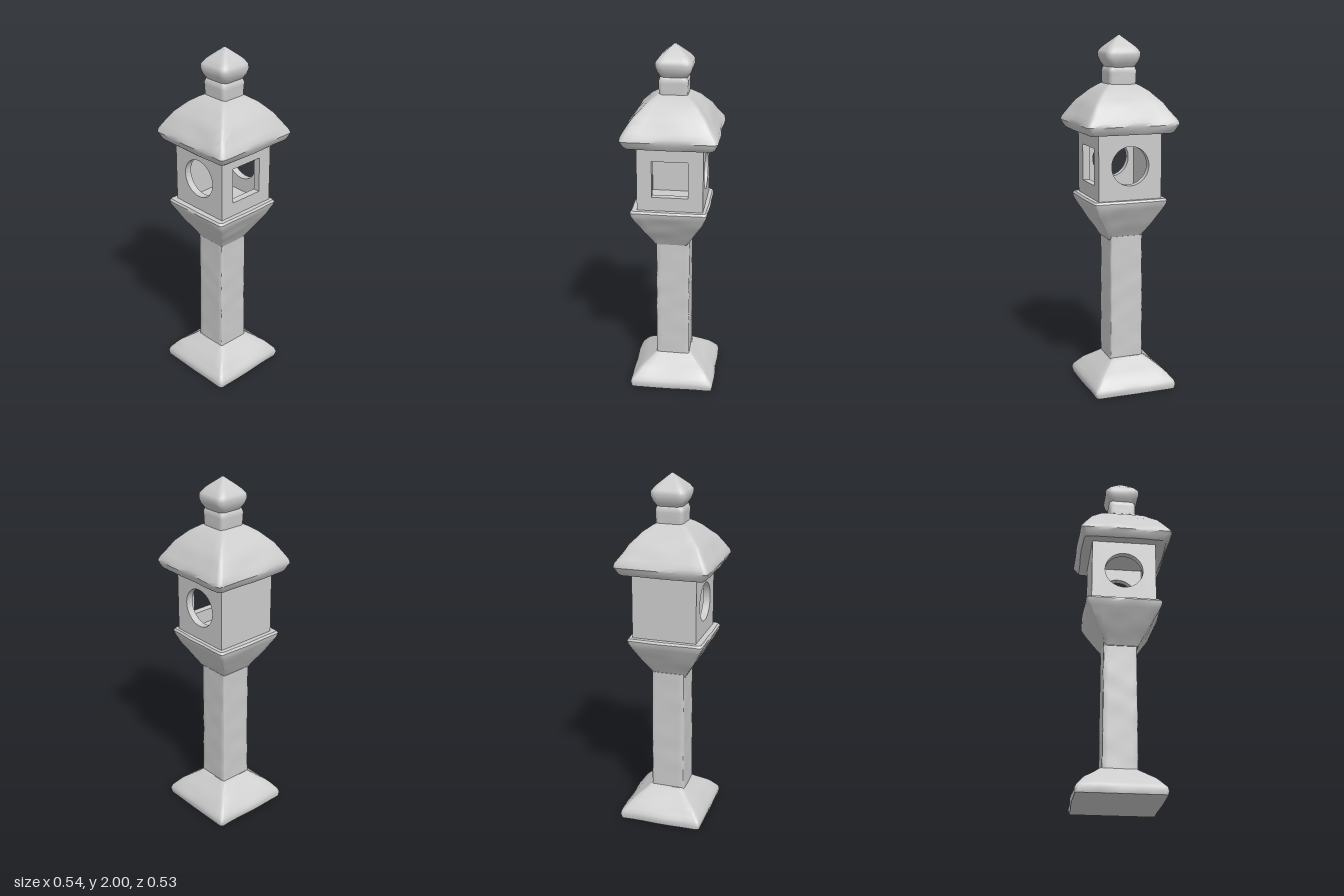
import * as THREE from 'three';
import { toCreasedNormals } from 'three/addons/utils/BufferGeometryUtils.js';

const stone = new THREE.MeshStandardMaterial({ color: 0xcccccc });

// Gentle weathering, returned as a relative change in width
const wear = (x, y, z) =>
  0.012 * Math.sin(17 * x + 23 * y + 5) * Math.cos(19 * z - 11 * y) +
  0.010 * Math.sin(41 * y + 13 * z) * Math.cos(29 * x + 7 * y);

// Rounded square outline, corner by corner: pairs [x, z]
function squareRing(half, radius) {
  const pts = [], arc = 4, side = 8, inner = half - radius;
  for (let c = 0; c < 4; c++) {
    const turn = c * Math.PI / 2, cos = Math.cos(turn), sin = Math.sin(turn);
    const put = (x, z) => pts.push([x * cos - z * sin, x * sin + z * cos]);
    for (let i = 0; i < side; i++) put(half, inner * (2 * i / side - 1));
    for (let i = 0; i < arc; i++) {
      const a = i / arc * Math.PI / 2;
      put(inner + radius * Math.cos(a), inner + radius * Math.sin(a));
    }
  }
  return pts;
}

// Loft of rounded squares through a profile of [y, half width], closed at both ends
function squareLoft(name, profile, { cx = 0, cz = 0, round = 0.1, step = 0.03, crease = 0.7 } = {}) {
  const ends = [[profile[0][0], 0.0005], ...profile, [profile.at(-1)[0], 0.0005]];
  const rings = [ends[0]];
  for (let i = 1; i < ends.length; i++) {
    const [y0, h0] = ends[i - 1], [y1, h1] = ends[i];
    const n = Math.max(1, Math.ceil(Math.hypot(y1 - y0, h1 - h0) / step));
    for (let k = 1; k <= n; k++) rings.push([y0 + (y1 - y0) * k / n, h0 + (h1 - h0) * k / n]);
  }
  const pos = [], index = [];
  let count = 0;
  rings.forEach(([y, h], j) => {
    const ring = squareRing(h, h * round);
    count = ring.length;
    ring.forEach(([x, z], i) => {
      const s = 1 + wear(x, y, z);
      pos.push(cx + x * s, y, cz + z * s);
      if (j === rings.length - 1) return;
      const a = j * count + i, b = j * count + (i + 1) % count;
      index.push(a, a + count, b, b, a + count, b + count);
    });
  });
  const geo = new THREE.BufferGeometry();
  geo.setAttribute('position', new THREE.Float32BufferAttribute(pos, 3));
  geo.setIndex(index);
  const mesh = new THREE.Mesh(toCreasedNormals(geo, crease), stone);
  mesh.name = name;
  return mesh;
}

// Upright wall plate of the light chamber, with an optional opening
function wall(name, width, height, thick, hole) {
  const shape = new THREE.Shape([
    new THREE.Vector2(-width / 2, 0), new THREE.Vector2(width / 2, 0),
    new THREE.Vector2(width / 2, height), new THREE.Vector2(-width / 2, height),
  ]);
  if (hole) shape.holes.push(hole);
  const geo = new THREE.ExtrudeGeometry(shape, { depth: thick, bevelEnabled: false, curveSegments: 40 });
  const mesh = new THREE.Mesh(toCreasedNormals(geo, 0.5), stone);
  mesh.name = name;
  return mesh;
}

function lightChamber() {
  const group = new THREE.Group();
  group.name = 'lightChamber';
  const half = 0.182, thick = 0.04, y = 1.1, height = 0.4;

  // Round openings front and back
  for (const [name, z] of [['frontWall', half - thick], ['backWall', -half]]) {
    const circle = new THREE.Path().absarc(0, 1.3 - y, 0.108, 0, Math.PI * 2, true);
    const plate = wall(name, half * 2, height, thick, circle);
    plate.position.set(-0.004, y, z);
    group.add(plate);
  }

  // Square window on one side, solid wall on the other
  const square = new THREE.Path([[-0.1, 0.09], [-0.1, 0.295], [0.1, 0.295], [0.1, 0.09]]
    .map(([u, v]) => new THREE.Vector2(u, v)));
  square.closePath();
  for (const [name, x, hole] of [['windowWall', half - thick, square], ['solidWall', -half, null]]) {
    const plate = wall(name, (half - thick) * 2, height, thick, hole);
    plate.rotation.y = Math.PI / 2;
    plate.position.set(x - 0.004, y, 0);
    group.add(plate);
  }
  return group;
}

export function createModel() {
  const model = new THREE.Group();
  model.name = 'stoneLantern';
  model.add(
    // Flared foot
    squareLoft('base', [[0, 0.238], [0.025, 0.244], [0.045, 0.238], [0.1, 0.188], [0.15, 0.125], [0.175, 0.095]],
      { cx: -0.022, cz: -0.01, round: 0.08 }),
    // Square post
    squareLoft('post', [[0.14, 0.097], [0.5, 0.095], [0.89, 0.094]], { cx: -0.015, cz: -0.003 }),
    // Tapered platform below the chamber
    squareLoft('platform', [[0.87, 0.09], [0.9, 0.107], [0.96, 0.145], [1.04, 0.19], [1.08, 0.211], [1.1, 0.215], [1.112, 0.207]],
      { cx: -0.005, cz: 0.006, round: 0.08 }),
    lightChamber(),
    // Hipped roof with thick eaves
    squareLoft('roof', [[1.478, 0.238], [1.488, 0.247], [1.525, 0.264], [1.545, 0.258], [1.64, 0.196], [1.7, 0.135], [1.73, 0.093], [1.742, 0.07]],
      { round: 0.1 }),
    // Neck and pointed finial
    squareLoft('neck', [[1.72, 0.076], [1.75, 0.078], [1.81, 0.08], [1.828, 0.074], [1.845, 0.06]],
      { cz: -0.005, round: 0.25, step: 0.015 }),
    squareLoft('finial', [[1.82, 0.065], [1.835, 0.076], [1.86, 0.092], [1.885, 0.1], [1.91, 0.099], [1.935, 0.08], [1.96, 0.052], [1.985, 0.022], [2, 0.004]],
      { cz: -0.008, round: 0.35, step: 0.015, crease: 1 }),
  );
  return model;
}
